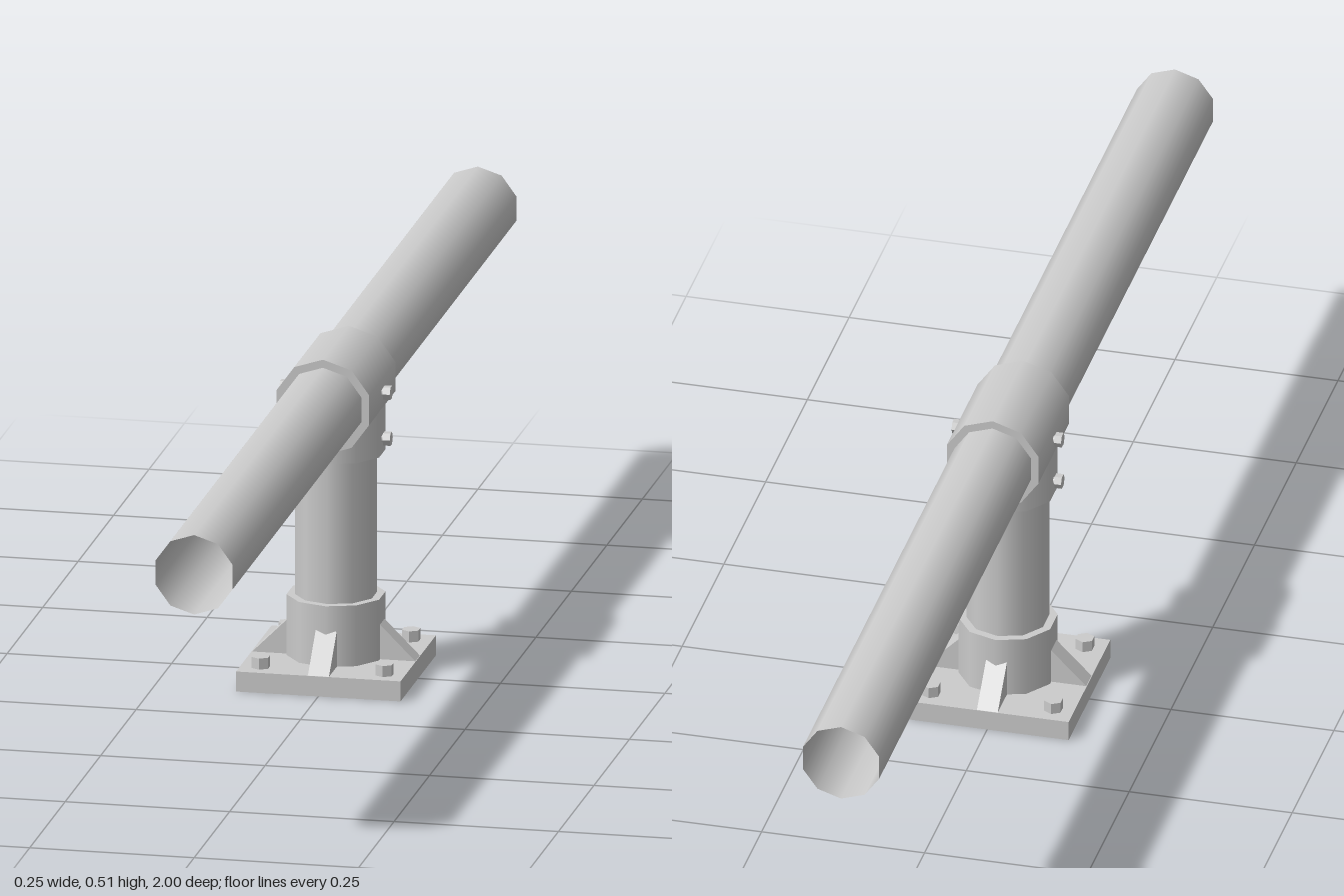
import * as THREE from 'three';

const SIDES = 10;
const PLATE_TOP = 0.031, RAIL_Y = 0.438;
const PIPE_R = 0.0615, SOCKET_R = 0.074;

export function createModel() {
  const group = new THREE.Group();
  const smooth = new THREE.MeshStandardMaterial({ color: 0xcccccc });
  const flat = new THREE.MeshStandardMaterial({ color: 0xcccccc, flatShading: true });
  const thin = new THREE.MeshStandardMaterial({ color: 0xcccccc, side: THREE.DoubleSide });

  function add(name, geometry, material, parent = group) {
    const mesh = new THREE.Mesh(geometry, material);
    mesh.name = name;
    parent.add(mesh);
    return mesh;
  }

  // Upright ten-sided tube between two heights
  function upright(name, radius, y0, y1, material, open = false) {
    const geo = new THREE.CylinderGeometry(radius, radius, y1 - y0, SIDES, 1, open);
    return add(name, geo.translate(0, (y0 + y1) / 2, 0), material);
  }

  // Base plate: a shallow tray, open underneath
  const plateGeo = new THREE.BoxGeometry(0.25, PLATE_TOP, 0.25).translate(0, PLATE_TOP / 2, 0);
  const faces = Array.from(plateGeo.index.array);
  faces.splice(18, 6); // drop the bottom face
  plateGeo.setIndex(faces);
  plateGeo.clearGroups();
  add('basePlate', plateGeo, thin);

  // Post with its lower collar and upper socket
  upright('baseCollar', SOCKET_R, PLATE_TOP, 0.125, smooth);
  upright('post', PIPE_R, 0.12, 0.35, thin, true);
  upright('railSocket', SOCKET_R, 0.345, 0.416, smooth);

  // Long open rail and the sleeve that holds it
  const railGeo = new THREE.CylinderGeometry(PIPE_R, PIPE_R, 2, SIDES, 1, true);
  add('rail', railGeo.rotateX(Math.PI / 2).translate(0, RAIL_Y, 0), thin);
  const sleeveGeo = new THREE.CylinderGeometry(SOCKET_R, SOCKET_R, 0.184, SIDES);
  add('railSleeve', sleeveGeo.rotateX(Math.PI / 2).translate(0, RAIL_Y, 0), smooth);

  // Triangular gussets on the four sides of the collar
  const profile = new THREE.Shape();
  profile.moveTo(0.062, PLATE_TOP);
  profile.lineTo(0.124, PLATE_TOP);
  profile.lineTo(0.062, 0.093);
  profile.closePath();
  const gussetGeo = new THREE.ExtrudeGeometry(profile, { depth: 0.032, bevelEnabled: false });
  gussetGeo.translate(0, 0, -0.016);
  for (let i = 0; i < 4; i++) {
    add('gusset', gussetGeo, flat).rotation.y = (i * Math.PI) / 2;
  }

  // Hexagonal bolts at the plate corners
  const boltGeo = new THREE.CylinderGeometry(0.0144, 0.0144, 0.018, 6);
  for (const x of [-0.094, 0.094]) {
    for (const z of [-0.094, 0.094]) {
      add('anchorBolt', boltGeo, flat).position.set(x, PLATE_TOP + 0.008, z);
    }
  }

  // Clamp screws on both sides of the sleeve and socket
  const headGeo = new THREE.CylinderGeometry(0.011, 0.011, 0.011, 6).rotateZ(Math.PI / 2);
  const shankGeo = new THREE.CylinderGeometry(0.006, 0.006, 0.014, 8).rotateZ(Math.PI / 2);
  for (const side of [-1, 1]) {
    for (const y of [0.3685, 0.4395]) {
      const screw = new THREE.Group();
      screw.name = 'clampScrew';
      screw.position.set(side * 0.0785, y, 0);
      add('screwHead', headGeo, flat, screw);
      add('screwShank', shankGeo, smooth, screw).position.x = -side * 0.009;
      group.add(screw);
    }
  }

  return group;
}
